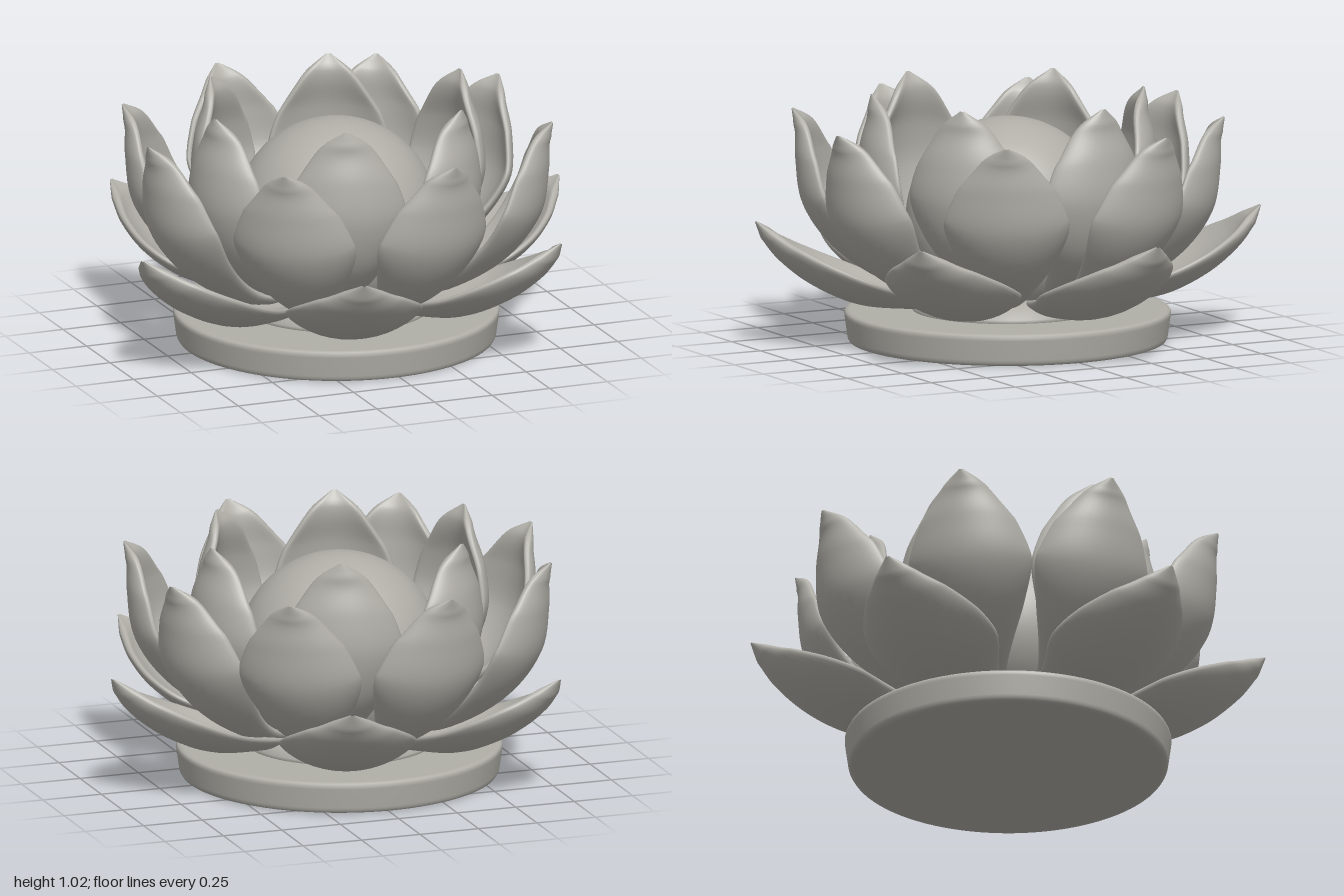
import * as THREE from 'three';

const stone = new THREE.MeshStandardMaterial({ color: 0xb0aea7 });
stone.name = 'warm grey stone';

// Profile rows are [half width, height, distance from the axis], root to tip.
// Petals are [angle, outward shift].
const RINGS = [
  {
    name: 'outerPetal', cup: 0.68,
    petals: [[-73, 0], [-8, 0], [48, -0.03], [106, 0], [161, 0], [229, -0.02]],
    profile: [[0.05, 0.165, 0.15], [0.17, 0.17, 0.42], [0.27, 0.2, 0.63], [0.255, 0.28, 0.8],
      [0.175, 0.38, 0.925], [0.09, 0.455, 0.985], [0.008, 0.52, 1.035]],
  },
  {
    name: 'middlePetal', cup: 0.9,
    petals: [[-57, 0], [-19.5, 0], [28, 0], [79, 0], [126, 0], [172, 0], [213, 0], [259, 0]],
    profile: [[0.04, 0.18, 0.15], [0.075, 0.22, 0.4], [0.2, 0.37, 0.67], [0.25, 0.55, 0.805],
      [0.195, 0.73, 0.835], [0.1, 0.85, 0.84], [0.008, 0.925, 0.875]],
  },
  {
    name: 'innerPetal', cup: 0.85,
    petals: [[-71, 0], [-12, 0.05], [47, 0], [108, 0], [166, 0.05], [227, 0]],
    profile: [[0.04, 0.2, 0.1], [0.08, 0.26, 0.3], [0.19, 0.43, 0.5], [0.245, 0.63, 0.58],
      [0.205, 0.8, 0.575], [0.115, 0.93, 0.545], [0.008, 1.02, 0.555]],
  },
];

// Thick cupped petal: closed lens-shaped sections bent into an arc and swept along the profile.
function petalGeometry(profile, cup) {
  const rows = 40, cols = 40, thickness = 0.025;
  const curve = new THREE.CatmullRomCurve3(profile.map(p => new THREE.Vector3(...p)));
  const pos = [], index = [];
  for (let i = 0; i <= rows; i++) {
    const t = i / rows;
    const p = curve.getPoint(t), d = curve.getTangent(t);
    const len = Math.hypot(d.y, d.z);
    const ny = d.z / len, nz = -d.y / len; // normal towards the inside of the flower
    const bend = cup * (1 - 0.3 * t ** 4); // flatter towards the tip
    const w = Math.max(p.x, 0.006), R = w / Math.sin(bend);
    const half = thickness * Math.min(1, w / 0.08);
    for (let j = 0; j < cols; j++) {
      const a = (j / cols) * Math.PI * 2, s = Math.sin(a);
      const n = half * Math.sign(s) * Math.pow(Math.abs(s), 0.65);
      const phi = Math.cos(a) * bend;
      const lift = R - (R - n) * Math.cos(phi);
      pos.push((R - n) * Math.sin(phi), p.y + ny * lift, p.z + nz * lift);
      if (i < rows) {
        const k = i * cols + j, m = i * cols + (j + 1) % cols;
        index.push(k, m, m + cols, k, m + cols, k + cols);
      }
    }
  }
  const g = new THREE.BufferGeometry();
  g.setAttribute('position', new THREE.Float32BufferAttribute(pos, 3));
  g.setIndex(index);
  g.computeVertexNormals();
  return g;
}

function lathe(points) {
  return new THREE.LatheGeometry(points.map(p => new THREE.Vector2(...p)), 96);
}

export function createModel() {
  const model = new THREE.Group();
  model.name = 'lotusHolder';
  const flower = new THREE.Group();
  flower.name = 'flower';
  flower.position.x = -0.018;
  model.add(flower);

  const add = (name, geometry) => {
    const mesh = new THREE.Mesh(geometry, stone);
    mesh.name = name;
    flower.add(mesh);
    return mesh;
  };

  // Round foot with softened rims
  add('base', lathe([[0, 0], [0.615, 0], [0.625, 0], [0.637, 0.004], [0.643, 0.014], [0.645, 0.025],
    [0.656, 0.105], [0.657, 0.117], [0.652, 0.126], [0.64, 0.13], [0.63, 0.13], [0, 0.13]]));

  // Shallow seat joining the petals to the foot
  add('receptacle', lathe([[0, 0.12], [0.38, 0.12], [0.39, 0.145], [0.36, 0.18], [0.28, 0.21], [0, 0.22]]));

  // Central ball
  add('ball', new THREE.SphereGeometry(0.41, 64, 40)).position.y = 0.5;

  // Three rings of petals
  for (const ring of RINGS) {
    const geometry = petalGeometry(ring.profile, ring.cup);
    for (const [angle, shift] of ring.petals) {
      const petal = add(ring.name, geometry);
      petal.rotation.y = THREE.MathUtils.degToRad(90 - angle);
      petal.translateZ(shift);
    }
  }
  return model;
}
